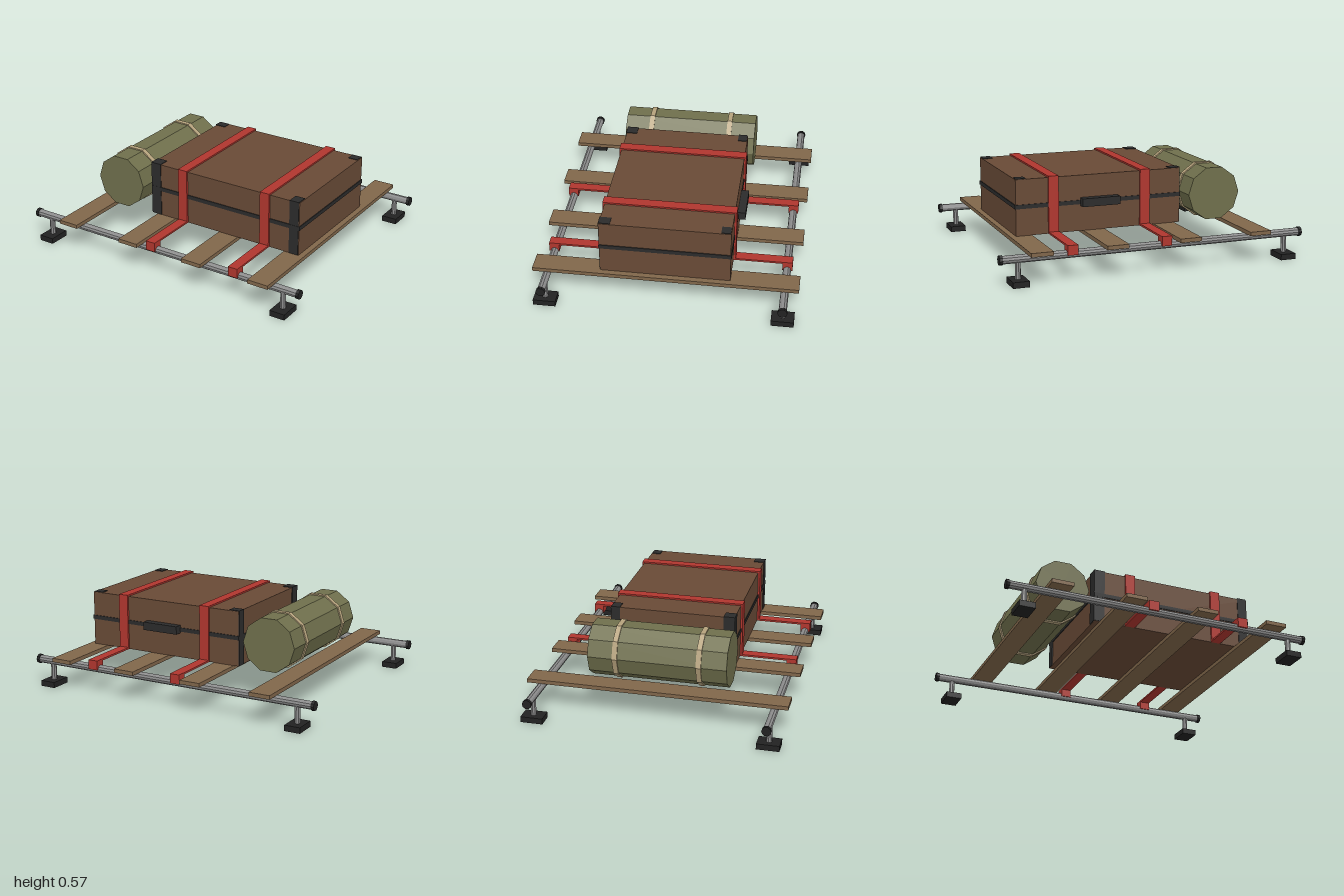
import * as THREE from 'three';

const mat = (color) => new THREE.MeshStandardMaterial({ color, flatShading: true });
const STEEL = mat(0x8c8c8c), BLACK = mat(0x222222), WOOD = mat(0x80664a), LEATHER = mat(0x684a36);
const TRIM = mat(0x2b2b2b), RED = mat(0xb0362e), CANVAS = mat(0x6f6f4c), CORD = mat(0xb5a27c);

function add(parent, name, geometry, material) {
  const mesh = new THREE.Mesh(geometry, material);
  mesh.name = name;
  parent.add(mesh);
  return mesh;
}

// Box given by its extents on each axis
function box(parent, name, material, [x0, x1], [y0, y1], [z0, z1]) {
  add(parent, name, new THREE.BoxGeometry(x1 - x0, y1 - y0, z1 - z0), material)
    .position.set((x0 + x1) / 2, (y0 + y1) / 2, (z0 + z1) / 2);
}

function group(parent, name) {
  const g = new THREE.Group();
  g.name = name;
  parent.add(g);
  return g;
}

export function createModel() {
  const model = new THREE.Group();
  model.name = 'loadedRoofRack';

  // Side rails with end caps, posts and feet
  const frame = group(model, 'frame');
  for (const z of [-0.742, 0.742]) {
    const rail = new THREE.CylinderGeometry(0.025, 0.025, 1.98, 10).rotateZ(Math.PI / 2);
    add(frame, 'rail', rail, STEEL).position.set(0, 0.16, z);
    for (const s of [-1, 1]) {
      const cap = new THREE.CylinderGeometry(0.03, 0.03, 0.02, 10).rotateZ(Math.PI / 2);
      add(frame, 'railCap', cap, BLACK).position.set(s * 0.99, 0.16, z);
      const post = new THREE.CylinderGeometry(0.018, 0.018, 0.13, 8);
      add(frame, 'post', post, STEEL).position.set(s * 0.884, 0.095, z);
      box(frame, 'foot', BLACK, [s * 0.884 - 0.051, s * 0.884 + 0.051], [0, 0.037], [z - 0.071, z + 0.071]);
    }
  }

  // Wooden cross slats
  const slats = group(model, 'slats');
  for (const x of [-0.674, -0.197, 0.28, 0.757])
    box(slats, 'slat', WOOD, [x - 0.07, x + 0.07], [0.182, 0.207], [-0.83, 0.83]);

  // Trunk with band, corner guards and handle
  const trunk = group(model, 'trunk');
  box(trunk, 'trunkBody', LEATHER, [-0.302, 0.79], [0.207, 0.562], [-0.405, 0.405]);
  box(trunk, 'trunkBand', TRIM, [-0.307, 0.795], [0.378, 0.404], [-0.41, 0.41]);
  for (const x of [[-0.307, -0.235], [0.722, 0.786]])
    for (const z of [[-0.401, -0.343], [0.336, 0.409]])
      box(trunk, 'cornerGuard', TRIM, x, [0.208, 0.566], z);
  box(trunk, 'handle', TRIM, [0.122, 0.37], [0.368, 0.42], [-0.455, -0.405]);

  // Straps over the trunk, along the deck and hooked round the rails
  for (const x of [-0.06, 0.549]) {
    const strap = group(model, 'strap');
    const w = [x - 0.033, x + 0.033];
    box(strap, 'strapTop', RED, w, [0.56, 0.572], [-0.418, 0.418]);
    for (const s of [-1, 1]) {
      const span = (a, b) => (s > 0 ? [a, b] : [-b, -a]);
      box(strap, 'strapSide', RED, w, [0.207, 0.572], span(0.404, 0.418));
      box(strap, 'strapTail', RED, w, [0.207, 0.219], span(0.41, 0.776));
      box(strap, 'strapHook', RED, w, [0.157, 0.21], span(0.712, 0.776));
    }
  }

  // Ten-sided bedroll with two ties
  const bedroll = group(model, 'bedroll');
  const decagon = (r, length) =>
    new THREE.CylinderGeometry(r, r, length, 10).rotateY(Math.PI / 2).rotateX(Math.PI / 2);
  add(bedroll, 'roll', decagon(0.177, 0.88), CANVAS);
  for (const z of [-0.265, 0.265]) add(bedroll, 'tie', decagon(0.185, 0.032), CORD).position.z = z;
  bedroll.position.set(-0.532, 0.385, 0);

  return model;
}
